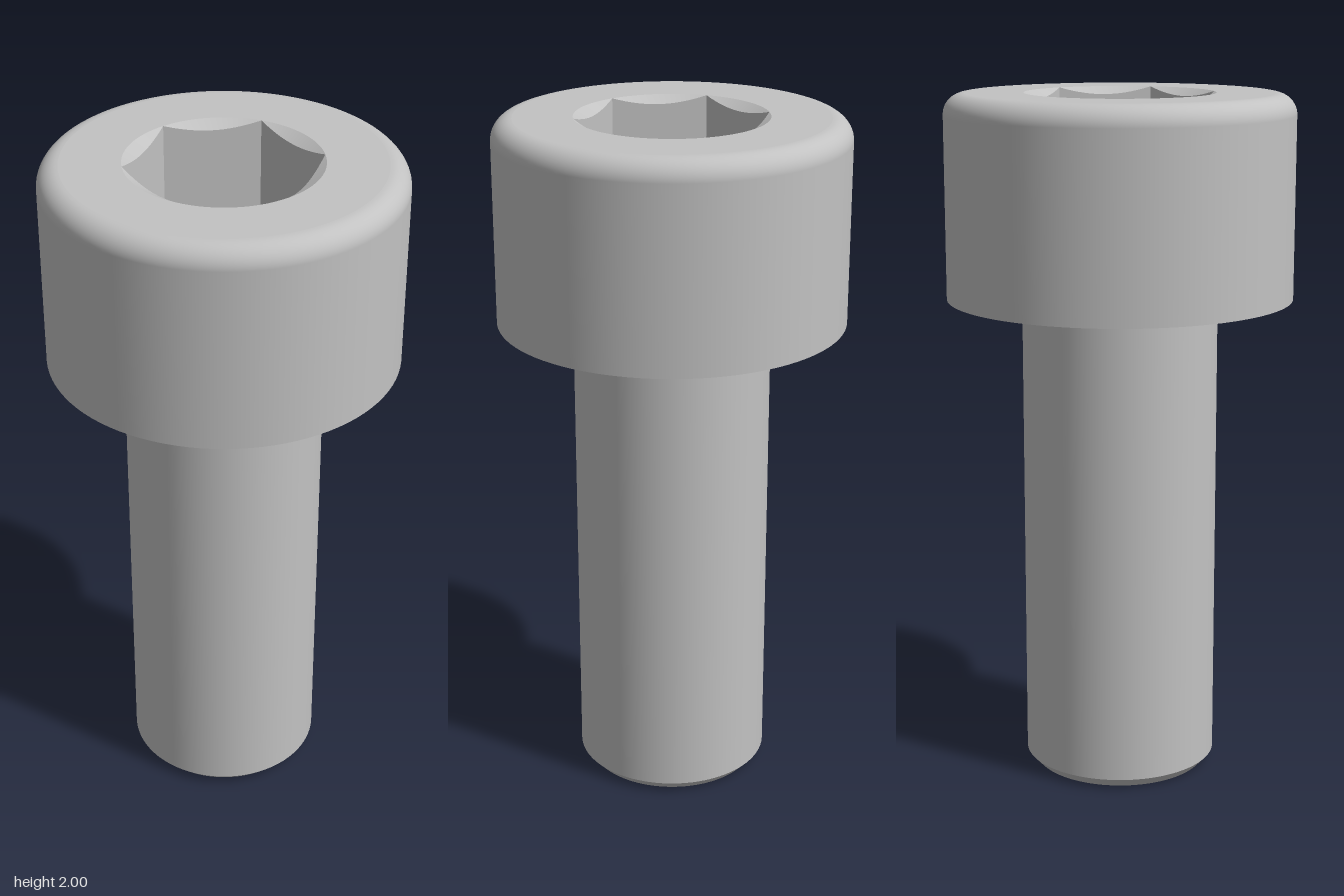
import * as THREE from 'three';

const SEG = 96;
const HEAD_R = 0.5, HEAD_Y = 1.416, TOP = 2, ROUND = 0.06;
const SHANK_R = 0.283, FILLET = 0.02;
const FLAT_R = 0.236, CORNER_R = FLAT_R / Math.cos(Math.PI / 6);
const FLOOR_Y = 1.706, SLOPE = Math.tan(Math.PI / 6);

// Points of a quarter arc as [radius, height]
function arc(cx, cy, r, from, to, steps = 12) {
  return Array.from({ length: steps + 1 }, (_, i) => {
    const a = from + (to - from) * i / steps;
    return [cx + r * Math.cos(a), cy + r * Math.sin(a)];
  });
}

// Closed strip between two rings, each given as a function of angle
function strip(ringA, ringB, flat) {
  const pos = [], index = [];
  for (let i = 0; i < SEG; i++) {
    const t = i / SEG * Math.PI * 2;
    for (const [r, y] of [ringA(t), ringB(t)]) pos.push(r * Math.sin(t), y, r * Math.cos(t));
    const a = 2 * i, b = 2 * ((i + 1) % SEG);
    index.push(a, b, a + 1, b + 1, a + 1, b);
  }
  let geo = new THREE.BufferGeometry();
  geo.setAttribute('position', new THREE.Float32BufferAttribute(pos, 3));
  geo.setIndex(index);
  if (flat) geo = geo.toNonIndexed();
  geo.computeVertexNormals();
  return geo;
}

export function createModel() {
  const steel = new THREE.MeshStandardMaterial({ color: 0xc2c2c2 });
  steel.name = 'steel grey';
  const model = new THREE.Group();
  model.name = 'socketHeadScrew';

  const add = (group, name, geo) => {
    const mesh = new THREE.Mesh(geo, steel);
    mesh.name = name;
    group.add(mesh);
  };
  const turned = (group, name, pts) =>
    add(group, name, new THREE.LatheGeometry(pts.map(p => new THREE.Vector2(...p)), SEG));
  const part = name => {
    const g = new THREE.Group();
    g.name = name;
    model.add(g);
    return g;
  };

  // Shank: flat tip, chamfer, and a fillet running into the head
  const shank = part('shank');
  turned(shank, 'tipFace', [[0, 0], [0.255, 0]]);
  turned(shank, 'tipChamfer', [[0.255, 0], [SHANK_R, 0.03]]);
  turned(shank, 'shankBody', [[SHANK_R, 0.03],
    ...arc(SHANK_R + FILLET, HEAD_Y - FILLET, FILLET, Math.PI, Math.PI / 2, 8)]);

  // Head: underside, wall with rounded rim, and top ring
  const head = part('head');
  turned(head, 'headUnderside', [[SHANK_R + FILLET, HEAD_Y], [HEAD_R, HEAD_Y]]);
  turned(head, 'headWall', [[HEAD_R, HEAD_Y],
    ...arc(HEAD_R - ROUND, TOP - ROUND, ROUND, 0, Math.PI / 2)]);
  turned(head, 'headTop', [[HEAD_R - ROUND, TOP], [CORNER_R, TOP]]);

  // Hex socket: countersink cut by the hex, six walls, floor, drill cone
  const socket = part('hexSocket');
  const hexR = t => FLAT_R / Math.cos(t % (Math.PI / 3) - Math.PI / 6);
  const rim = () => [CORNER_R, TOP];
  const scallop = t => [hexR(t), TOP - (CORNER_R - hexR(t)) * SLOPE];
  const hexFloor = t => [hexR(t), FLOOR_Y];
  add(socket, 'countersink', strip(rim, scallop, false));
  add(socket, 'socketWalls', strip(scallop, hexFloor, true));
  add(socket, 'socketFloor', strip(hexFloor, () => [FLAT_R, FLOOR_Y], true));
  turned(socket, 'drillCone', [[FLAT_R, FLOOR_Y], [0, FLOOR_Y - FLAT_R * SLOPE]]);

  return model;
}
